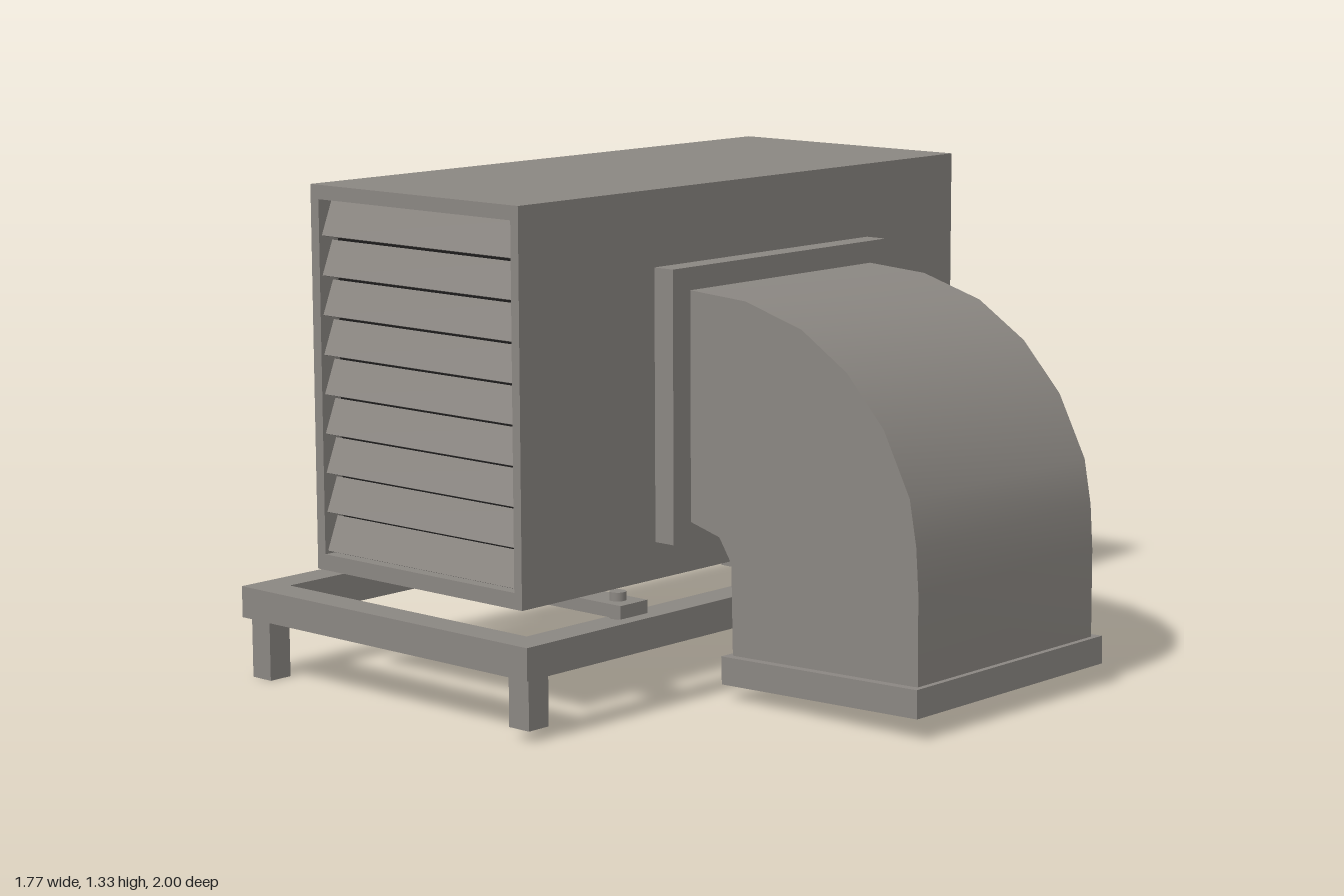
import * as THREE from 'three';

const grey = new THREE.MeshStandardMaterial({ color: 0x8b8782, side: THREE.DoubleSide });
grey.name = 'grey metal';
const dark = new THREE.MeshStandardMaterial({ color: 0x1c1b1b });
dark.name = 'dark gap';

function add(parent, name, geometry, material = grey) {
  const mesh = new THREE.Mesh(geometry, material);
  mesh.name = name;
  parent.add(mesh);
  return mesh;
}

// box given by its minimum and maximum on each axis
function block(parent, name, x0, x1, y0, y1, z0, z1, material = grey) {
  const mesh = add(parent, name, new THREE.BoxGeometry(x1 - x0, y1 - y0, z1 - z0), material);
  mesh.position.set((x0 + x1) / 2, (y0 + y1) / 2, (z0 + z1) / 2);
  return mesh;
}

// rectangle outline with optional rounded corners
function rect(x0, x1, y0, y1, r = 0, Type = THREE.Shape) {
  const s = new Type();
  if (r === 0) {
    s.moveTo(x0, y0).lineTo(x1, y0).lineTo(x1, y1).lineTo(x0, y1).lineTo(x0, y0);
    return s;
  }
  s.moveTo(x0 + r, y0).lineTo(x1 - r, y0).absarc(x1 - r, y0 + r, r, -Math.PI / 2, 0);
  s.lineTo(x1, y1 - r).absarc(x1 - r, y1 - r, r, 0, Math.PI / 2);
  s.lineTo(x0 + r, y1).absarc(x0 + r, y1 - r, r, Math.PI / 2, Math.PI);
  s.lineTo(x0, y0 + r).absarc(x0 + r, y0 + r, r, Math.PI, Math.PI * 1.5);
  return s;
}

function plate(shape, depth, hole) {
  if (hole) shape.holes.push(hole);
  return new THREE.ExtrudeGeometry(shape, { depth, bevelEnabled: false, curveSegments: 32 });
}

// rectangular ring with an even border
function ring(x0, x1, y0, y1, border, depth, r = 0) {
  const hole = rect(x0 + border, x1 - border, y0 + border, y1 - border, r && r - border / 2, THREE.Path);
  return plate(rect(x0, x1, y0, y1, r), depth, hole);
}

function buildStand() {
  const stand = new THREE.Group();
  stand.name = 'stand';
  const base = add(stand, 'baseFrame', ring(-0.89, 0.18, -1, 1, 0.09, 0.085));
  base.rotation.x = Math.PI / 2;
  base.position.y = 0.25;
  for (const s of [-1, 1]) {
    block(stand, 'leg', -0.875, -0.805, 0, 0.17, s * 0.945 - 0.035, s * 0.945 + 0.035);
    block(stand, 'leg', 0.095, 0.165, 0.03, 0.17, s * 0.945 - 0.035, s * 0.945 + 0.035);
    block(stand, 'crossBar', -0.88, 0.175, 0.262, 0.297, s * 0.605 - 0.05, s * 0.605 + 0.05);
    for (const x of [-0.85, 0.118]) {
      const bolt = add(stand, 'bolt', new THREE.CylinderGeometry(0.022, 0.022, 0.07, 20));
      bolt.position.set(x, 0.285, s * 0.605);
    }
  }
  return stand;
}

function buildHousing() {
  const housing = new THREE.Group();
  housing.name = 'housing';
  block(housing, 'mainBody', -0.64, 0.035, 0.3, 1.33, -0.87, 0.8);

  // front frame and tilted louvers
  const frame = plate(rect(-0.73, 0.035, 0.3, 1.33), 0.07, rect(-0.7, 0.008, 0.343, 1.292, 0, THREE.Path));
  add(housing, 'louverFrame', frame).position.z = 0.8;
  block(housing, 'louverBacking', -0.71, 0.02, 0.34, 1.295, 0.8, 0.804, dark);
  for (let i = 0; i < 9; i++) {
    const slat = add(housing, 'louver', new THREE.BoxGeometry(0.7, 0.098, 0.006));
    slat.position.set(-0.346, 0.397 + i * 0.1055, 0.843);
    slat.rotation.x = -0.38;
  }
  return housing;
}

// right-hand wall with fan and service panel; local x runs along the unit, local z points outward
function buildFanSide() {
  const side = new THREE.Group();
  side.name = 'fanSide';
  const R = 0.38, cx = -0.36, cy = 0.83;
  const hole = new THREE.Path().absarc(cx, cy, R, 0, Math.PI * 2);
  add(side, 'fanWall', plate(rect(-0.87, 0.8, 0.3, 1.33), 0.09, hole)).position.z = -0.09;

  const fan = new THREE.Group();
  fan.name = 'fan';
  fan.position.set(cx, cy, -0.08);
  add(fan, 'fanBacking', new THREE.CircleGeometry(R, 48)).position.z = -0.006;
  for (let i = 0; i < 9; i++) {
    // swept, pitched blade
    const g = new THREE.PlaneGeometry(1, 1, 8, 4);
    const p = g.attributes.position;
    for (let k = 0; k < p.count; k++) {
      const u = p.getX(k) + 0.5, v = p.getY(k) + 0.5;
      const r = 0.06 + 0.28 * u;
      const a = -0.9 * u * u + v * 0.62 + (i * Math.PI * 2) / 9;
      p.setXYZ(k, r * Math.cos(a), r * Math.sin(a), 0.002 + 0.035 * v);
    }
    g.computeVertexNormals();
    add(fan, 'fanBlade', g);
  }
  for (const [r, h] of [[0.085, 0.05], [0.055, 0.07]]) {
    const hub = add(fan, 'fanHub', new THREE.CylinderGeometry(r, r, h, 32));
    hub.rotation.x = Math.PI / 2;
    hub.position.z = h / 2;
  }
  side.add(fan);

  // service panel with vent slots
  add(side, 'panelRim', ring(0.18, 0.715, 0.41, 1.225, 0.02, 0.016, 0.06));
  add(side, 'servicePanel', plate(rect(0.19, 0.705, 0.42, 1.215, 0.05), 0.008));
  for (let i = 0; i < 5; i++) {
    const y = 0.475 + i * 0.052;
    add(side, 'ventSlot', plate(rect(0.275, 0.655, y, y + 0.03, 0.0149), 0.002), dark).position.z = 0.008;
    add(side, 'ventLip', plate(rect(0.28, 0.65, y + 0.007, y + 0.029, 0.0109), 0.008)).position.z = 0.008;
  }
  side.position.x = -0.73;
  side.rotation.y = -Math.PI / 2;
  return side;
}

function buildControlBox() {
  const box = new THREE.Group();
  box.name = 'controlBox';
  block(box, 'mountPlate', -0.49, -0.19, 0.7, 1.265, -0.889, -0.87);
  const rim = add(box, 'doorRim', ring(-0.465, -0.215, 0.715, 1.24, 0.02, 0.02));
  rim.position.z = -0.907;
  block(box, 'door', -0.43, -0.25, 0.75, 1.205, -0.915, -0.88);
  block(box, 'handleBase', -0.39, -0.285, 0.705, 0.8, -0.93, -0.88);
  const handle = add(box, 'handle', plate(rect(-0.385, -0.29, 0.71, 0.82, 0.02), 0.02));
  handle.position.z = -0.947;
  return box;
}

function buildDuct() {
  const duct = new THREE.Group();
  duct.name = 'elbowDuct';
  const z0 = -0.43, z1 = 0.305;
  const outer = [[0.09, 1.067], [0.29, 1.055], [0.48, 1.0], [0.63, 0.905], [0.75, 0.775],
    [0.835, 0.61], [0.857, 0.49], [0.865, 0.37], [0.866, 0.08]];
  const inner = [[0.09, 0.455], [0.2, 0.425], [0.242, 0.36], [0.248, 0.07]];

  // curved sheets spanning the duct width
  for (const [name, pts] of [['outerSheet', outer], ['innerSheet', inner]]) {
    const g = new THREE.PlaneGeometry(1, 1, pts.length - 1, 1);
    const p = g.attributes.position;
    for (let k = 0; k < p.count; k++) {
      const [x, y] = pts[k % pts.length];
      p.setXYZ(k, x, y, k < pts.length ? z0 : z1);
    }
    // turn the outer sheet to face outward
    if (name === 'outerSheet') g.setIndex([...g.index.array].reverse());
    g.computeVertexNormals();
    add(duct, name, g);
  }

  // flat cheeks
  const outline = [...outer, ...[...inner].reverse()].map(([x, y]) => new THREE.Vector2(x, y));
  for (const z of [z0, z1]) {
    const cheek = add(duct, 'cheek', new THREE.ShapeGeometry(new THREE.Shape(outline)));
    if (z === z0) {
      // mirrored winding so the rear cheek faces backward
      cheek.geometry.setIndex([...cheek.geometry.index.array].reverse());
      cheek.geometry.computeVertexNormals();
    }
    cheek.position.z = z;
  }

  block(duct, 'wallFlange', 0.03, 0.1, 0.4, 1.127, -0.495, 0.372);

  // outlet collar, slightly tilted
  const collar = new THREE.Group();
  collar.name = 'outletCollar';
  const band = add(collar, 'collarBand', ring(-0.327, 0.327, -0.393, 0.393, 0.024, 0.075));
  band.rotation.x = Math.PI / 2;
  band.position.y = 0.0375;
  collar.position.set(0.557, 0.087, -0.0625);
  collar.rotation.z = 0.028;
  duct.add(collar);
  return duct;
}

export function createModel() {
  const model = new THREE.Group();
  model.name = 'ductedCooler';
  model.add(buildStand(), buildHousing(), buildFanSide(), buildControlBox(), buildDuct());
  return model;
}
